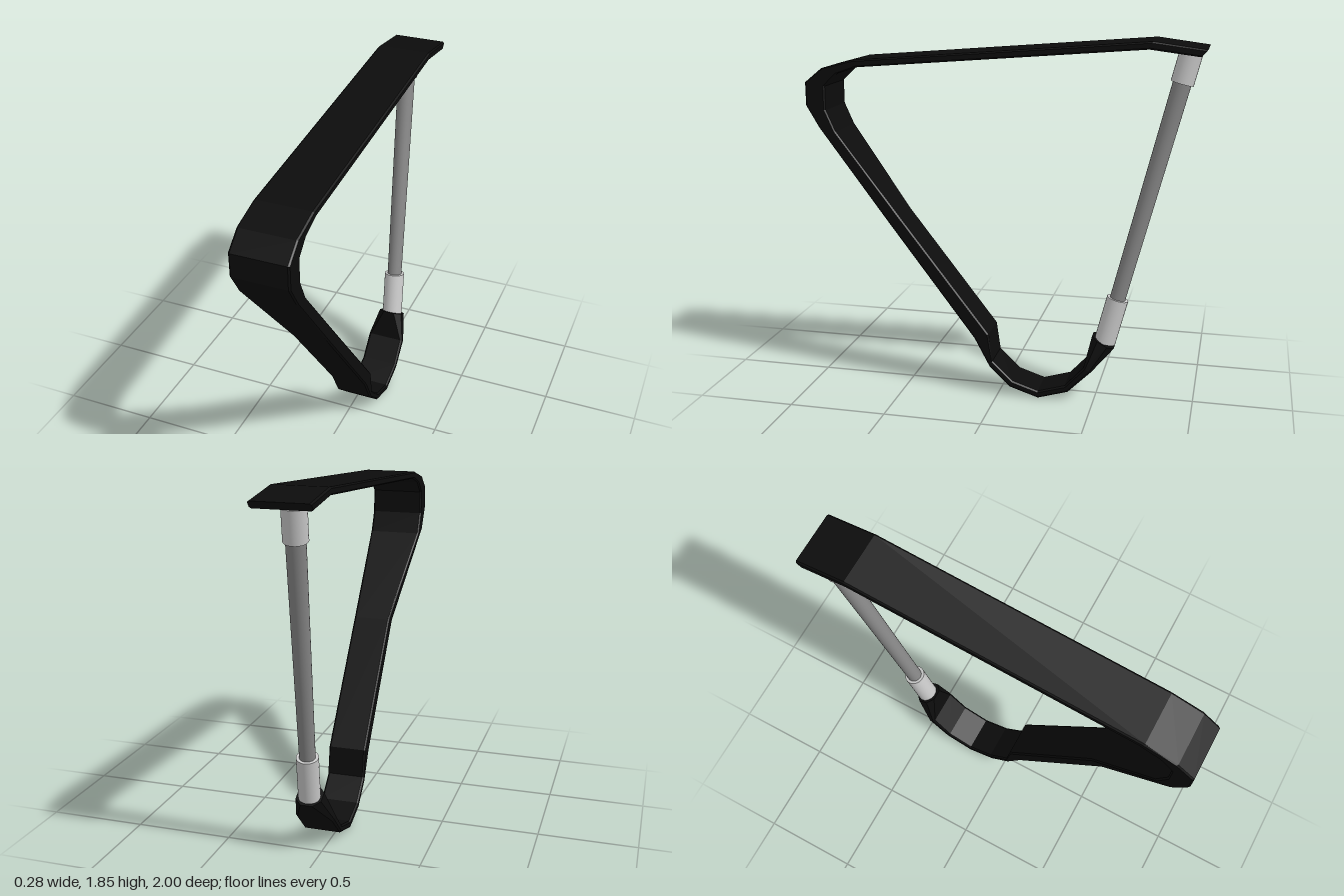
import * as THREE from 'three';

const black = new THREE.MeshStandardMaterial({ color: 0x0c0c0c, flatShading: true });
const poleGrey = new THREE.MeshStandardMaterial({ color: 0x888888 });
const lightGrey = new THREE.MeshStandardMaterial({ color: 0xcccccc });

// Band stations from the rear tip around to the hook:
// outer z, outer y, inner z, inner y, right edge x, left edge x, bevel
const stations = [
  [-1.0, 1.815, -0.97, 1.78, -0.14, 0.14, 0.008],
  [-0.745, 1.848, -0.73, 1.81, -0.14, 0.14, 0.008],
  [0.745, 1.725, 0.718, 1.69, -0.14, 0.14, 0.008],
  [0.91, 1.68, 0.826, 1.655, -0.14, 0.14, 0.008],
  [1.0, 1.607, 0.895, 1.59, -0.14, 0.14, 0.008],
  [1.0, 1.49, 0.895, 1.468, -0.14, 0.14, 0.008],
  [0.933, 1.377, 0.847, 1.36, -0.14, 0.14, 0.008],
  [0.584, 0.91, 0.515, 0.93, -0.06, 0.14, 0.008],
  [0.123, 0.302, 0.048, 0.33, -0.06, 0.14, 0.008],
  [0.043, 0.152, 0.027, 0.185, -0.06, 0.14, 0.008],
  [-0.064, 0.05, -0.08, 0.083, -0.06, 0.14, 0.008],
  [-0.214, 0.002, -0.214, 0.04, -0.06, 0.14, 0.008],
  [-0.37, 0.05, -0.354, 0.083, -0.06, 0.14, 0.008],
  [-0.488, 0.168, -0.45, 0.19, -0.06, 0.14, 0.01],
  [-0.595, 0.285, -0.483, 0.345, -0.02, 0.11, 0.035],
];

// Bevelled rectangular cross-section with eight corners
function section([oz, oy, iz, iy, x0, x1, b]) {
  const t = b / Math.hypot(iz - oz, iy - oy);
  const ring = [
    [x0 + b, 0], [x1 - b, 0], [x1, t], [x1, 1 - t],
    [x1 - b, 1], [x0 + b, 1], [x0, 1 - t], [x0, t],
  ];
  return ring.map(([x, f]) => [x, oy + (iy - oy) * f, oz + (iz - oz) * f]);
}

// Skin between the cross-sections, closed at both ends
function loft(rings) {
  const n = rings[0].length;
  const last = (rings.length - 1) * n;
  const index = [];
  for (let s = 0; s < last; s += n) {
    for (let j = 0; j < n; j++) {
      const a = s + j, b = s + (j + 1) % n;
      index.push(a, a + n, b, b, a + n, b + n);
    }
  }
  for (let j = 1; j < n - 1; j++) {
    index.push(0, j, j + 1, last, last + j + 1, last + j);
  }
  const geometry = new THREE.BufferGeometry();
  geometry.setAttribute('position', new THREE.Float32BufferAttribute(rings.flat(2), 3));
  geometry.setIndex(index);
  geometry.computeVertexNormals();
  return geometry;
}

// Round bar running from one point to another
function bar(name, from, to, rFrom, rTo, material) {
  const a = new THREE.Vector3(...from);
  const d = new THREE.Vector3(...to).sub(a);
  const mesh = new THREE.Mesh(new THREE.CylinderGeometry(rTo, rFrom, d.length(), 24), material);
  mesh.position.copy(a).addScaledVector(d, 0.5);
  mesh.quaternion.setFromUnitVectors(new THREE.Vector3(0, 1, 0), d.normalize());
  mesh.name = name;
  return mesh;
}

export function createModel() {
  const group = new THREE.Group();
  group.name = 'bandAndPole';

  const band = new THREE.Mesh(loft(stations.map(section)), black);
  band.name = 'band';
  group.add(band);

  // Leaning pole with a sleeve at each end, all on one axis
  const low = new THREE.Vector3(0.045, 0.31, -0.545);
  const high = new THREE.Vector3(-0.035, 1.795, -0.917);
  const along = (f) => low.clone().lerp(high, f).toArray();
  group.add(bar('pole', along(0.1), along(0.95), 0.039, 0.046, poleGrey));
  group.add(bar('lowerSleeve', along(0), along(0.157), 0.055, 0.055, lightGrey));
  group.add(bar('upperSleeve', along(0.893), along(0.997), 0.057, 0.057, lightGrey));

  return group;
}
